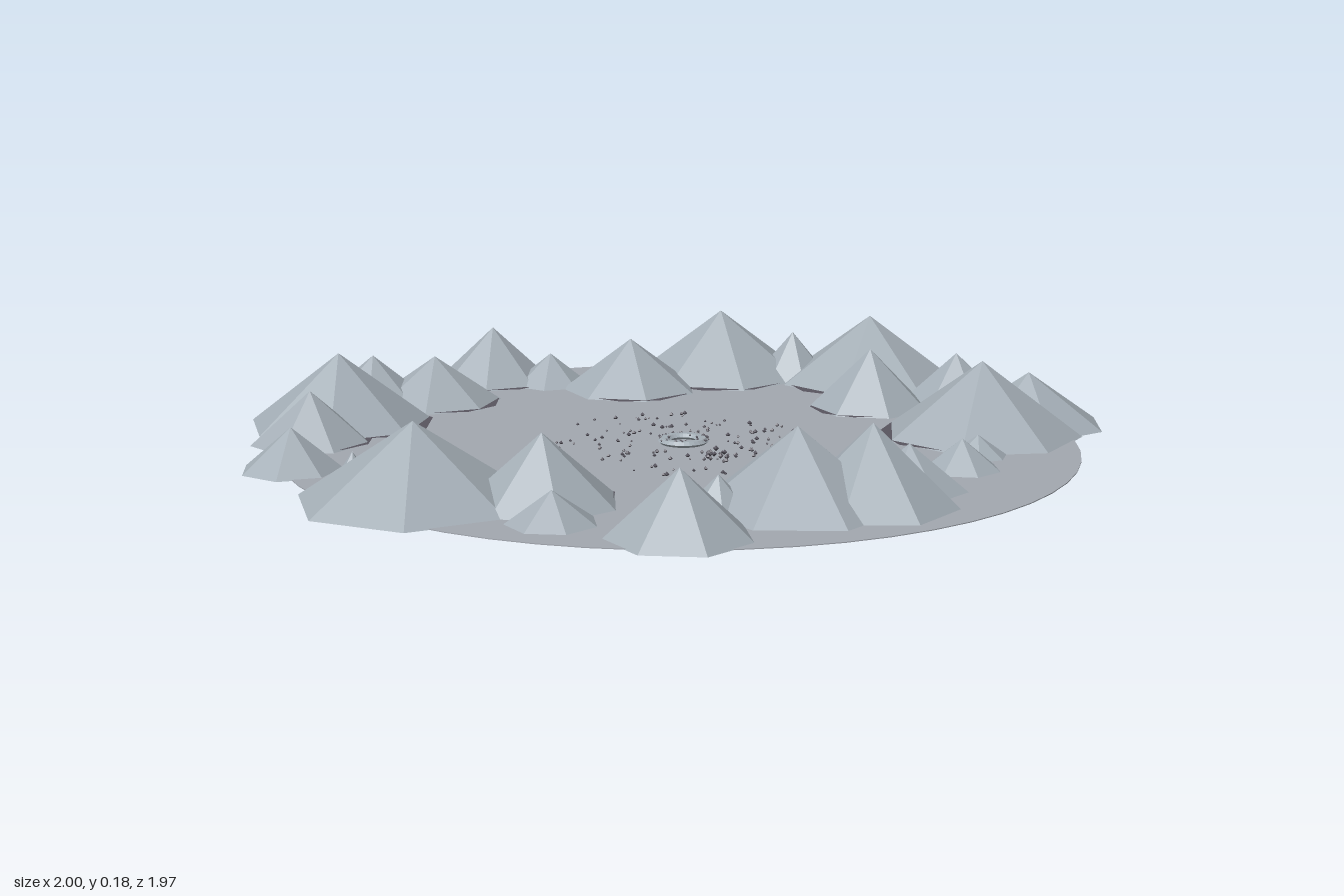
import * as THREE from 'three';
import { mergeGeometries } from 'three/addons/utils/BufferGeometryUtils.js';

const CX = 0.05, CZ = 0.035; // middle of the plain

// x, z, radius, height, direction of one base corner in degrees
const PEAKS = [
  [0.0, -0.76, 0.23, 0.17, -90], [0.39, -0.76, 0.235, 0.17, -3],
  [0.19, -0.76, 0.105, 0.12, -90], [-0.19, -0.53, 0.175, 0.13, -90],
  [-0.56, -0.56, 0.15, 0.14, -124], [-0.405, -0.55, 0.1, 0.08, -120],
  [-0.63, -0.28, 0.165, 0.115, -124], [-0.775, -0.235, 0.145, 0.12, 180],
  [-0.78, 0.0, 0.22, 0.17, 180], [-0.78, 0.2, 0.14, 0.12, 100],
  [-0.73, 0.46, 0.115, 0.095, -119], [-0.385, 0.665, 0.255, 0.17, 180],
  [-0.12, 0.63, 0.17, 0.15, 12], [-0.06, 0.785, 0.1, 0.07, 110],
  [0.21, 0.83, 0.155, 0.14, 7], [0.4, 0.55, 0.22, 0.17, 105],
  [0.55, 0.51, 0.185, 0.175, 0], [0.61, 0.36, 0.13, 0.1, -100],
  [0.705, 0.16, 0.09, 0.07, 10], [0.73, 0.03, 0.07, 0.05, 30],
  [0.72, -0.19, 0.235, 0.175, 45], [0.82, -0.33, 0.185, 0.125, 17],
  [0.63, -0.56, 0.135, 0.12, -92], [0.43, -0.44, 0.15, 0.145, -90],
  [0.25, 0.63, 0.08, 0.08, 20], [-0.53, 0.63, 0.06, 0.09, 20],
];

function seeded(seed) {
  return () => {
    seed = (seed * 16807) % 2147483647;
    return seed / 2147483647;
  };
}

export function createModel() {
  const group = new THREE.Group();
  const rock = new THREE.MeshStandardMaterial({ color: 0xa3adb5, flatShading: true });
  rock.name = 'pale rock';
  const ground = new THREE.MeshStandardMaterial({ color: 0xa3a8b0 });
  ground.name = 'grey ground';
  const dark = new THREE.MeshStandardMaterial({ color: 0x58555f, flatShading: true });
  dark.name = 'dark rock';
  const rand = seeded(4217);

  const add = (name, geometry, material, parent = group) => {
    const mesh = new THREE.Mesh(geometry, material);
    mesh.name = name;
    parent.add(mesh);
    return mesh;
  };

  // Flat round plain
  add('plain', new THREE.CylinderGeometry(0.91, 0.91, 0.002, 56), ground)
    .position.set(CX, 0.002, CZ);

  // Ring of seven-sided peaks, each with a dark apron on its inner side
  const peaks = new THREE.Group();
  peaks.name = 'peaks';
  group.add(peaks);
  for (const [x, z, r, h, corner] of PEAKS) {
    const start = Math.PI / 2 - THREE.MathUtils.degToRad(corner);
    add('peak', new THREE.ConeGeometry(r, h, 7, 1, false, start), rock, peaks)
      .position.set(x, h / 2 + 0.001, z);
    if (r < 0.13) continue;
    const dx = CX - x, dz = CZ - z, d = Math.hypot(dx, dz);
    const apron = new THREE.CylinderGeometry(r * 0.82, r * 0.5, 0.006, 9);
    add('apron', apron, dark, peaks)
      .position.set(x + (dx / d) * r * 0.21, 0.003, z + (dz / d) * r * 0.21);
  }

  // Small raised ring at the middle of the plain
  const ring = new THREE.TorusGeometry(0.044, 0.014, 6, 28).rotateX(Math.PI / 2).scale(1, 0.6, 1);
  add('centreRing', ring, rock).position.set(0.06, 0.0085, 0.04);

  // Loose dark pebbles: scattered wide, along the ring, and in one small pile
  const pebbles = (name, count, size, place) => {
    const parts = [];
    for (let i = 0; i < count; i++) {
      const s = size * (0.6 + 0.8 * rand());
      const [x, y, z] = place();
      parts.push(new THREE.OctahedronGeometry(s)
        .rotateY(rand() * 6).translate(x, y + s * 0.5 + 0.003, z));
    }
    add(name, mergeGeometries(parts), dark);
  };
  pebbles('scatteredPebbles', 130, 0.0045, () => {
    const a = rand() * Math.PI * 2, r = 0.1 + 0.22 * rand();
    return [0.06 + r * Math.cos(a), 0, 0.04 + r * Math.sin(a)];
  });
  pebbles('ringPebbles', 60, 0.003, () => {
    const a = rand() * Math.PI * 2, r = 0.032 + 0.028 * rand();
    return [0.06 + r * Math.cos(a), 0.01, 0.04 + r * Math.sin(a)];
  });
  pebbles('pebblePile', 16, 0.006, () =>
    [0.165 + (rand() - 0.5) * 0.05, rand() * 0.015, 0.175 + (rand() - 0.5) * 0.06]);

  return group;
}
